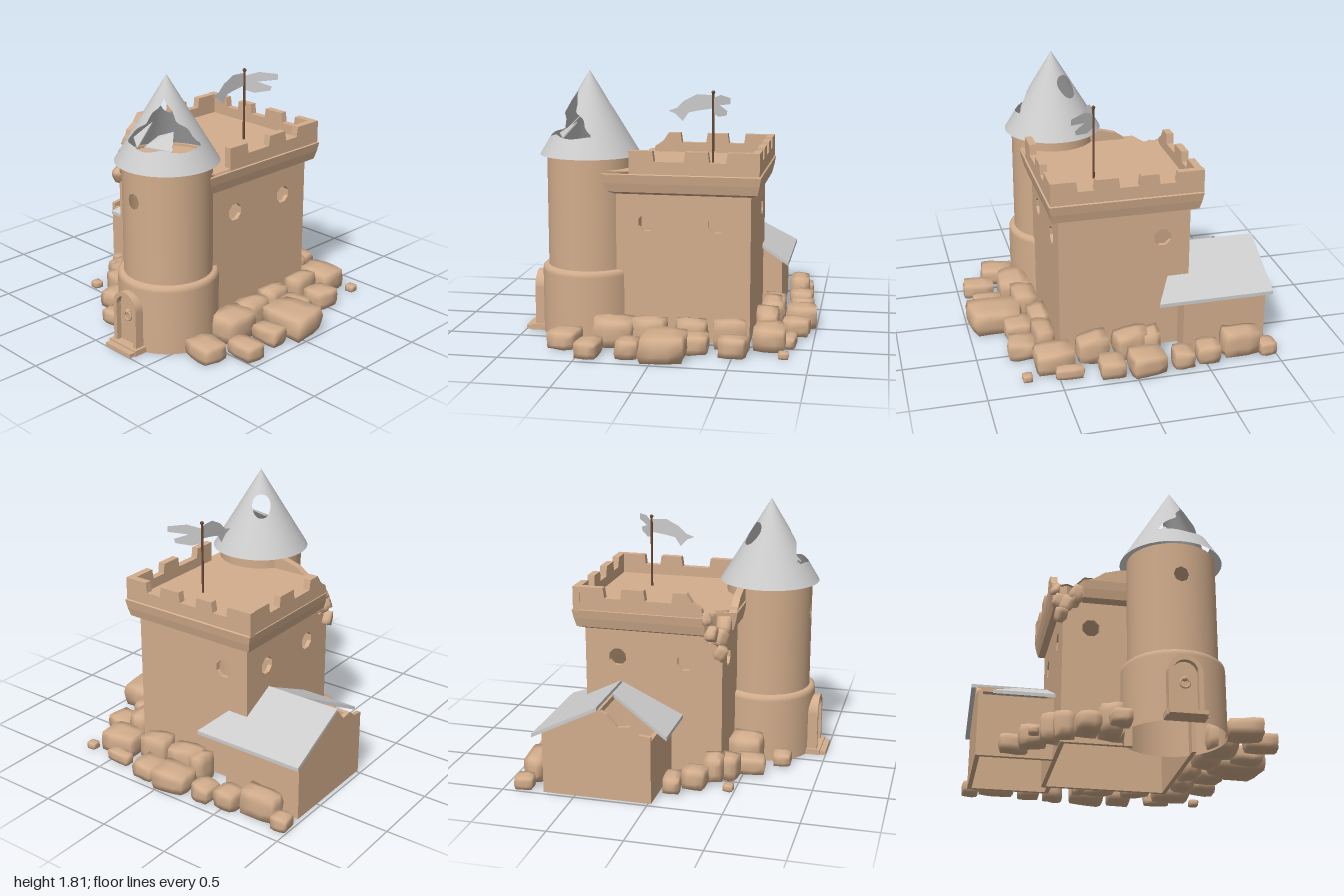
import * as THREE from 'three';
import { mergeVertices } from 'three/addons/utils/BufferGeometryUtils.js';
import { ConvexGeometry } from 'three/addons/geometries/ConvexGeometry.js';

const paint = (color) => new THREE.MeshStandardMaterial({ color, side: THREE.DoubleSide });
const stone = paint(0xd2ad8c), slate = paint(0xcccccc), wood = paint(0x6b4a35);

let seed = 7;
const rnd = () => (seed = (seed * 16807) % 2147483647) / 2147483647 - 0.5;

function add(parent, name, geo, mat, x = 0, y = 0, z = 0, ry = 0) {
  const m = new THREE.Mesh(geo, mat);
  m.name = name;
  m.position.set(x, y, z);
  m.rotation.y = ry;
  parent.add(m);
  return m;
}

const shapeOf = (pts) => new THREE.Shape(pts.map(([x, y]) => new THREE.Vector2(x, y)));

// Flat panel with octagonal windows; its outer face lies on local z = 0
function panel(pts, windows = [], depth = 0.03) {
  const s = shapeOf(pts);
  for (const [x, y] of windows) {
    const hole = [];
    for (let i = 0; i < 8; i++) {
      const a = (i + 0.5) * Math.PI / 4;
      hole.push(new THREE.Vector2(x + 0.062 * Math.cos(a), y + 0.062 * Math.sin(a)));
    }
    s.holes.push(new THREE.Path(hole));
  }
  return new THREE.ExtrudeGeometry(s, { depth, bevelEnabled: false }).translate(0, 0, -depth);
}

// Battlement outline from a to b, cut down at each gap
function crenel(a, b, gaps) {
  const pts = [[b, 1.13], [a, 1.13], [a, 1.3]];
  for (const [g, h] of gaps) pts.push([g, 1.3], [g + 0.01, 1.23], [h - 0.01, 1.23], [h, 1.3]);
  pts.push([b, 1.3]);
  return pts;
}

// Surface of revolution with holes; each hole is {a, y, w, h, edge(phi)} in angle and height
function revolve(radiusAt, y0, y1, holes, na = 80, nv = 32) {
  const pos = [], inside = [], index = [];
  for (let j = 0; j <= nv; j++) for (let i = 0; i <= na; i++) {
    let a = -Math.PI + (i / na) * 2 * Math.PI, y = y0 + (j / nv) * (y1 - y0), hit = false;
    for (const o of holes) {
      const u = (a - o.a) / o.w, v = (y - o.y) / o.h + 1e-5;
      const d = Math.hypot(u, v), f = o.edge(Math.atan2(v, u));
      if (d < f) { a = o.a + u * f / d * o.w; y = o.y + v * f / d * o.h; hit = true; }
    }
    const r = radiusAt(y);
    pos.push(r * Math.sin(a), y, r * Math.cos(a));
    inside.push(hit);
  }
  const tri = (...t) => { if (!t.every((k) => inside[k])) index.push(...t); };
  for (let j = 0; j < nv; j++) for (let i = 0; i < na; i++) {
    const p = j * (na + 1) + i, q = p + na + 1;
    tri(p, p + 1, q);
    tri(p + 1, q + 1, q);
  }
  const g = new THREE.BufferGeometry();
  g.setAttribute('position', new THREE.Float32BufferAttribute(pos, 3));
  g.setIndex(index);
  g.computeVertexNormals();
  return g;
}

// Keep outline grown by e, with a bite out of the front left corner
const outline = (e) => [[-0.46 - e, -0.58 - e], [-0.46 - e, 0.26], [-0.43, 0.32], [-0.38, 0.29],
  [-0.33, 0.37 + e], [0.44 + e, 0.37 + e], [0.44 + e, -0.58 - e]];

function loft(rings) {
  const pos = [];
  for (let k = 0; k + 1 < rings.length; k++) {
    const [A, B] = [rings[k], rings[k + 1]], n = A.length;
    for (let i = 0; i < n; i++) {
      const j = (i + 1) % n;
      pos.push(...A[i], ...A[j], ...B[i], ...A[j], ...B[j], ...B[i]);
    }
  }
  const g = new THREE.BufferGeometry();
  g.setAttribute('position', new THREE.Float32BufferAttribute(pos, 3));
  g.computeVertexNormals();
  return g;
}

// Thin slab below a planar set of corners
function slab(corners, t = 0.025) {
  const pts = [];
  for (const [x, y, z] of corners) pts.push(new THREE.Vector3(x, y, z), new THREE.Vector3(x, y - t, z));
  return new ConvexGeometry(pts);
}

// Worn boulder: a box eased toward a sphere and jittered
function boulder(sx, sy, sz) {
  let g = new THREE.BoxGeometry(1, 1, 1, 3, 3, 3);
  g.deleteAttribute('uv');
  g.deleteAttribute('normal');
  g = mergeVertices(g);
  const p = g.attributes.position, v = new THREE.Vector3(), lean = [rnd(), rnd(), rnd()];
  for (let i = 0; i < p.count; i++) {
    v.fromBufferAttribute(p, i);
    v.lerp(v.clone().setLength(0.6), 0.35).multiplyScalar(0.93);
    v.x *= 1 + lean[0] * 0.45 * v.z;
    v.z *= 1 + lean[1] * 0.45 * v.x;
    v.y = Math.max(-0.5, v.y * (1 + lean[2] * 0.6 * v.x) + rnd() * 0.06);
    p.setXYZ(i, (v.x + rnd() * 0.05) * sx, v.y * sy, (v.z + rnd() * 0.05) * sz);
  }
  g.computeVertexNormals();
  return g;
}

function archShape(r, spring) {
  const s = new THREE.Shape();
  s.moveTo(-r, 0);
  s.lineTo(r, 0);
  s.lineTo(r, spring);
  s.absarc(0, spring, r, 0, Math.PI, false);
  s.lineTo(-r, 0);
  return s;
}

function createModel() {
  const root = new THREE.Group();
  const H = Math.PI / 2;

  // Keep walls; the front and right walls end at the tower
  const keep = new THREE.Group();
  keep.name = 'keep';
  root.add(keep);
  add(keep, 'frontWall', panel([[-0.46, 0], [0.01, 0], [0.01, 1.05], [-0.32, 1.05], [-0.36, 0.96], [-0.41, 0.95], [-0.46, 0.85]], [[-0.27, 0.815]]), stone, 0, 0, 0.37);
  add(keep, 'backWall', panel([[-0.44, 0], [0.46, 0], [0.46, 1.02], [-0.44, 1.02]], [[0.27, 0.815]]), stone, 0, 0, -0.58, Math.PI);
  add(keep, 'rightWall', panel([[-0.34, 0], [0.58, 0], [0.58, 1.02], [-0.34, 1.02]], [[-0.12, 0.81], [0.355, 0.81]]), stone, 0.44, 0, 0, H);
  add(keep, 'leftWall', panel([[-0.58, 0], [0.37, 0], [0.37, 0.85], [0.32, 0.96], [0.27, 0.95], [0.22, 1.02], [-0.58, 1.02]], [[0.12, 0.81], [-0.355, 0.81]]), stone, -0.46, 0, 0, -H);

  // Flared cornice, roof deck and battlements
  const rings = [[1.0, 0], [1.02, 0.045], [1.08, 0.06], [1.14, 0.07], [1.145, 0.06]]
    .map(([y, e]) => outline(e).map(([x, z]) => [x, y, z]));
  add(keep, 'cornice', loft(rings), stone);
  add(keep, 'roofDeck', new THREE.ShapeGeometry(shapeOf(outline(0.06))).rotateX(H), stone, 0, 1.16);
  add(keep, 'rightBattlement', panel(crenel(-0.23, 0.64, [[-0.07, 0.15], [0.3, 0.43]]), [], 0.05), stone, 0.5, 0, 0, H);
  add(keep, 'backBattlement', panel(crenel(-0.5, 0.53, [[-0.33, -0.2], [-0.05, 0.1], [0.22, 0.35]]), [], 0.05), stone, 0, 0, -0.64, Math.PI);
  add(keep, 'leftBattlement', panel([...crenel(-0.64, 0.14, [[-0.43, -0.3], [-0.15, 0.05]]), [0.18, 1.24], [0.24, 1.2], [0.26, 1.13]], [], 0.05), stone, -0.525, 0, 0, -H);
  add(keep, 'brokenFrontBattlement', panel([[-0.33, 1.1], [0, 1.1], [0, 1.25], [-0.08, 1.24], [-0.19, 1.21], [-0.26, 1.16], [-0.33, 1.14]], [], 0.05), stone, 0, 0, 0.43);
  for (const [x, y, z, s] of [[-0.47, 0.9, 0.36, 0.08], [-0.48, 1.03, 0.3, 0.08], [-0.42, 0.99, 0.34, 0.1], [-0.37, 1.06, 0.36, 0.1], [-0.49, 1.13, 0.26, 0.07]]) {
    const m = add(keep, 'brokenCornerStone', boulder(s, s * 1.3, s), stone, x, y, z, y * 9);
    m.rotation.z = 0.5;
  }

  // Round tower with a torn cone roof
  const tower = new THREE.Group();
  tower.name = 'tower';
  tower.position.set(0.24, 0, 0.55);
  root.add(tower);
  const lip = [[0.338, 0], [0.338, 0.44], [0.335, 0.465], [0.32, 0.477], [0.285, 0.48]].map(([x, y]) => new THREE.Vector2(x, y));
  add(tower, 'towerBase', new THREE.LatheGeometry(lip, 48), stone);
  add(tower, 'towerShaft', revolve(() => 0.297, 0.45, 1.25, [{ a: 0, y: 1.025, w: 0.17, h: 0.055, edge: () => 1 }]), stone);
  add(tower, 'towerCeiling', new THREE.CircleGeometry(0.295, 40).rotateX(-H), stone, 0, 1.235);
  const tri = 2 * Math.PI / 3;
  const tear = (phi) => {
    const q = (((phi - H) % tri) + tri) % tri;
    return 0.5 / Math.cos(q - tri / 2) * (1 + 0.09 * Math.sin(6 * phi + 1));
  };
  add(tower, 'coneRoof', revolve((y) => Math.max(0.0005, 0.344 * (1.81 - y) / 0.57), 1.24, 1.81, [
    { a: 0.64, y: 1.48, w: 1.55, h: 0.21, edge: tear },
    { a: -2.5, y: 1.58, w: 0.5, h: 0.075, edge: (p) => 1 + 0.1 * Math.sin(3 * p) },
  ], 80, 40), slate);
  // Roof pieces fallen inward
  add(tower, 'fallenRoofPiece', slab([[0.02, 1.38, 0.21], [0.2, 1.37, 0.14], [0.13, 1.47, 0.06], [0.03, 1.43, 0.1]], 0.012), slate);
  add(tower, 'fallenRoofPiece', slab([[-0.13, 1.4, 0.17], [-0.04, 1.36, 0.22], [-0.05, 1.5, 0.08]], 0.012), slate);

  // Arched door with steps
  const door = new THREE.Group();
  door.name = 'door';
  door.position.set(0.23, 0, 0);
  root.add(door);
  const frame = archShape(0.11, 0.29);
  frame.holes.push(new THREE.Path(archShape(0.08, 0.29).getPoints(16)));
  add(door, 'doorFrame', new THREE.ExtrudeGeometry(frame, { depth: 0.08, bevelEnabled: false, curveSegments: 16 }), stone, 0, 0.01, 0.855);
  add(door, 'doorPanel', new THREE.ExtrudeGeometry(archShape(0.085, 0.29), { depth: 0.04, bevelEnabled: false, curveSegments: 16 }), stone, 0, 0.01, 0.858);
  add(door, 'doorRing', new THREE.TorusGeometry(0.03, 0.008, 8, 20), stone, 0, 0.235, 0.907);
  add(door, 'doorStud', new THREE.SphereGeometry(0.018, 12, 8), stone, 0, 0.265, 0.902);
  add(door, 'upperStep', new THREE.BoxGeometry(0.26, 0.04, 0.1), stone, 0, 0.02, 0.91);
  add(door, 'lowerStep', new THREE.BoxGeometry(0.24, 0.028, 0.07), stone, 0, 0.014, 0.965);

  // Lean-to with a ruined gable roof
  const shed = new THREE.Group();
  shed.name = 'shed';
  root.add(shed);
  add(shed, 'shedFrontWall', panel([[-0.97, 0], [-0.45, 0], [-0.45, 0.43], [-0.97, 0.43]]), stone, 0, 0, 0.02);
  add(shed, 'shedBackWall', panel([[0.39, 0], [0.97, 0], [0.97, 0.43], [0.39, 0.43]]), stone, 0, 0, -0.72, Math.PI);
  add(shed, 'shedSideWall', panel([[-0.72, 0], [0.02, 0], [0.02, 0.46], [-0.06, 0.47], [-0.12, 0.52], [-0.2, 0.51], [-0.27, 0.59], [-0.33, 0.62], [-0.72, 0.43]]), stone, -0.97, 0, 0, -H);
  add(shed, 'shedInnerWall', panel([[0.55, 0], [0.72, 0], [0.72, 0.43], [0.55, 0.5]]), stone, -0.39, 0, 0, H);
  add(shed, 'shedBackRoof', slab([[-1, 0.645, -0.33], [-0.45, 0.645, -0.33], [-0.2, 0.42, -0.78], [-1, 0.42, -0.78]]), slate);
  add(shed, 'shedFrontRoof', slab([[-0.69, 0.635, -0.32], [-0.45, 0.635, -0.32], [-0.45, 0.435, 0.1], [-0.88, 0.435, 0.1]]), slate);
  add(shed, 'ridgeBeam', new THREE.BoxGeometry(0.5, 0.035, 0.035), stone, -0.71, 0.605, -0.33);

  // Pole with a torn banner
  const flag = new THREE.Group();
  flag.name = 'flag';
  flag.position.set(0.13, 0, -0.28);
  root.add(flag);
  add(flag, 'flagPole', new THREE.CylinderGeometry(0.008, 0.008, 0.51, 8), wood, 0, 1.41);
  add(flag, 'poleKnob', new THREE.SphereGeometry(0.013, 10, 8), wood, 0, 1.66);
  add(flag, 'longBanner', new THREE.ShapeGeometry(shapeOf([[0, 1.64], [0.11, 1.645], [0.2, 1.6], [0.25, 1.55], [0.31, 1.53], [0.26, 1.51], [0.21, 1.46], [0.17, 1.52], [0.1, 1.535], [0, 1.55]])), slate, 0, 0, 0, -H);
  add(flag, 'shortBanner', new THREE.ShapeGeometry(shapeOf([[0, 1.62], [0.1, 1.65], [0.23, 1.64], [0.23, 1.6], [0.09, 1.58], [0.19, 1.55], [0.18, 1.52], [0.07, 1.5], [0, 1.52]])), slate, 0, 0, 0, 0.66);

  // Boulders around the foot: x, z, width, depth, height
  const rocks = {
    backRock: [[-0.52, -0.86, 0.17, 0.17, 0.14], [-0.34, -0.88, 0.15, 0.17, 0.13], [-0.09, -0.89, 0.26, 0.22, 0.15],
      [0.15, -0.87, 0.18, 0.2, 0.12], [0.43, -0.85, 0.2, 0.09, 0.08], [0.71, -0.83, 0.07, 0.07, 0.05], [-0.16, -0.7, 0.13, 0.15, 0.2],
      [-0.03, -0.69, 0.25, 0.16, 0.21], [0.24, -0.68, 0.23, 0.16, 0.2], [0.51, -0.72, 0.28, 0.22, 0.17],
      [-0.76, -0.83, 0.28, 0.15, 0.2], [-0.94, -0.86, 0.12, 0.13, 0.1]],
    rightRock: [[0.69, -0.5, 0.2, 0.2, 0.13], [0.67, -0.24, 0.2, 0.2, 0.13], [0.8, -0.07, 0.39, 0.3, 0.17], [0.82, 0.17, 0.22, 0.15, 0.12],
      [0.57, 0.08, 0.18, 0.25, 0.2], [0.61, 0.31, 0.23, 0.3, 0.2], [0.85, 0.43, 0.23, 0.16, 0.11], [0.68, 0.63, 0.25, 0.2, 0.12],
      [0.53, -0.46, 0.15, 0.23, 0.2], [0.52, -0.2, 0.14, 0.22, 0.18]],
    frontRock: [[-0.62, 0.23, 0.19, 0.17, 0.14], [-0.64, 0.46, 0.07, 0.07, 0.05], [-0.31, 0.54, 0.16, 0.22, 0.13], [-0.15, 0.48, 0.18, 0.24, 0.22],
      [-0.13, 0.73, 0.14, 0.13, 0.1], [-0.44, 0.42, 0.15, 0.14, 0.18], [-0.73, 0.1, 0.2, 0.12, 0.12], [-0.52, 0.33, 0.14, 0.14, 0.2]],
  };
  for (const [name, list] of Object.entries(rocks))
    for (const [x, z, w, d, h] of list) add(root, name, boulder(w, h, d), stone, x, h / 2, z, rnd() * 0.25);

  return root;
}

export { createModel };
